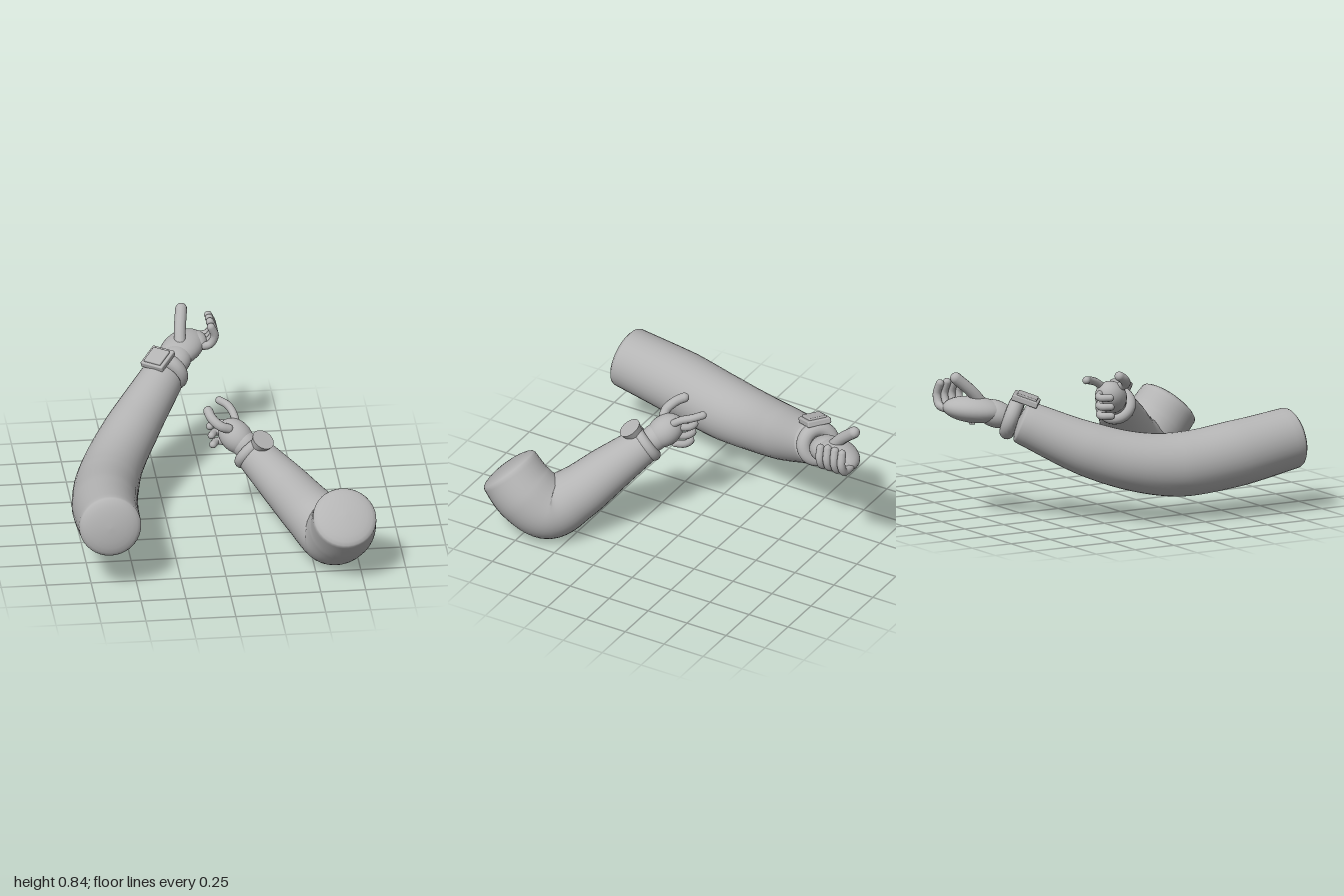
import * as THREE from 'three';
import { RoundedBoxGeometry } from 'three/addons/geometries/RoundedBoxGeometry.js';

const V = (a) => new THREE.Vector3(...a);
const skin = new THREE.MeshStandardMaterial({ color: 0xb4b4b4 });
skin.name = 'plain grey';

// Smooth round limb through [x, y, z, radius] stations, closed by domed ends
function limb(stations, capA, capB, steps = 28, sides = 28) {
  const curve = new THREE.CatmullRomCurve3(stations.map((s) => V(s.slice(0, 3))));
  const last = stations.length - 1;
  const radiusAt = (t) => {
    const i = Math.min(Math.floor(t * last), last - 1);
    return THREE.MathUtils.lerp(stations[i][3], stations[i + 1][3], t * last - i);
  };
  const rings = [];
  const dome = 6;
  const addDome = (t, height, sign) => {
    const p = curve.getPoint(t), d = curve.getTangent(t), r = radiusAt(t);
    for (let k = 1; k <= dome; k++) {
      const a = (k / dome) * Math.PI / 2;
      const ring = {
        p: p.clone().addScaledVector(d, sign * height * Math.sin(a)),
        d, r: Math.max(r * Math.cos(a), 0.0002),
      };
      if (sign < 0) rings.unshift(ring); else rings.push(ring);
    }
  };
  for (let i = 0; i <= steps; i++) {
    const t = i / steps;
    rings.push({ p: curve.getPoint(t), d: curve.getTangent(t), r: radiusAt(t) });
  }
  addDome(0, capA, -1);
  addDome(1, capB, 1);

  const pos = [], index = [];
  let n = Math.abs(rings[0].d.y) < 0.8 ? V([0, 1, 0]) : V([1, 0, 0]);
  rings.forEach(({ p, d, r }, i) => {
    n = n.clone().addScaledVector(d, -n.dot(d)).normalize();
    const b = d.clone().cross(n);
    for (let j = 0; j < sides; j++) {
      const a = (j / sides) * Math.PI * 2;
      const q = p.clone().addScaledVector(n, r * Math.cos(a)).addScaledVector(b, r * Math.sin(a));
      pos.push(q.x, q.y, q.z);
      if (i < rings.length - 1) {
        const k = (j + 1) % sides, u = i * sides, v = u + sides;
        index.push(u + j, u + k, v + j, u + k, v + k, v + j);
      }
    }
  });
  const g = new THREE.BufferGeometry();
  g.setAttribute('position', new THREE.Float32BufferAttribute(pos, 3));
  g.setIndex(index);
  g.computeVertexNormals();
  return g;
}

// Adds a mesh whose local y follows "up" and local z follows "along"
function place(parent, name, geometry, at = [0, 0, 0], along, up) {
  const mesh = new THREE.Mesh(geometry, skin);
  mesh.name = name;
  mesh.position.set(...at);
  if (along) {
    const z = V(along).normalize();
    const x = V(up).cross(z).normalize();
    mesh.quaternion.setFromRotationMatrix(new THREE.Matrix4().makeBasis(x, z.clone().cross(x), z));
  }
  parent.add(mesh);
  return mesh;
}

const ball = (x, y, z) => new THREE.SphereGeometry(1, 28, 20).scale(x, y, z);
const digit = (points, r) => limb(points.map((p) => [...p, r]), r, r, 12, 12);

function rightArm() {
  const arm = new THREE.Group();
  arm.name = 'rightArm';
  const along = [0.25, 0.14, -0.33];
  place(arm, 'rightSleeve', limb([
    [-0.655, 0.4, 0.85, 0.172], [-0.645, 0.345, 0.5, 0.184], [-0.6, 0.31, 0.18, 0.18],
    [-0.53, 0.335, -0.06, 0.165], [-0.41, 0.41, -0.3, 0.152], [-0.21, 0.56, -0.6, 0.122],
  ], 0.05, 0.03, 40, 36));
  place(arm, 'rightCuff', new THREE.TorusGeometry(0.085, 0.042, 16, 36), [-0.172, 0.585, -0.65], along, [0, 1, 0]);

  // Square wrist plate
  const plate = [-0.23, 0.69, -0.595];
  place(arm, 'wristPlate', new RoundedBoxGeometry(0.14, 0.035, 0.15, 2, 0.008), plate, along, [0, 1, 0]);
  place(arm, 'wristPlateFace', new RoundedBoxGeometry(0.105, 0.02, 0.115, 2, 0.006),
    [plate[0] - 0.006, plate[1] + 0.017, plate[2] + 0.007], along, [0, 1, 0]);

  // Open hand, palm up
  place(arm, 'rightWrist', ball(0.092, 0.075, 0.11), [-0.125, 0.605, -0.73], along, [0, 1, 0]);
  place(arm, 'rightPalm', ball(0.11, 0.073, 0.175), [-0.07, 0.63, -0.835], [0.5, 0.08, -0.75], [0, 1, 0]);
  place(arm, 'rightKnuckles', ball(0.088, 0.05, 0.06), [0.015, 0.64, -0.895], [1, 0.1, -0.15], [0, 1, 0]);
  place(arm, 'handStud', new RoundedBoxGeometry(0.035, 0.03, 0.035, 2, 0.008), [-0.06, 0.56, -0.84], [0.5, 0, -0.75], [0, 1, 0]);
  place(arm, 'rightThumb', digit([[-0.085, 0.66, -0.79], [-0.08, 0.73, -0.85], [-0.062, 0.815, -0.945]], 0.033));
  for (let i = 0; i < 4; i++) {
    const z = -0.83 - i * 0.046;
    const top = 0.762 + [-0.006, 0.004, 0.004, 0][i];
    place(arm, 'rightFinger', digit([
      [0.02, 0.635, z], [0.085, 0.645, z], [0.112, 0.7, z + 0.003], [0.09, top, z + 0.01],
    ], 0.023));
  }
  return arm;
}

function leftArm() {
  const arm = new THREE.Group();
  arm.name = 'leftArm';
  const along = [-0.4, 0.36, -0.38];
  place(arm, 'leftSleeve', limb([
    [0.65, 0.375, 0.845, 0.176], [0.645, 0.265, 0.745, 0.184], [0.6, 0.183, 0.625, 0.181],
    [0.5, 0.245, 0.515, 0.156], [0.36, 0.37, 0.385, 0.134], [0.21, 0.5, 0.245, 0.105],
  ], 0.045, 0.03, 44, 36));
  place(arm, 'leftCuff', new THREE.TorusGeometry(0.08, 0.034, 16, 36), [0.198, 0.505, 0.237], along, [0, 1, 0]);

  // Round wrist disc
  place(arm, 'wristDisc', new THREE.CylinderGeometry(0.064, 0.05, 0.05, 32), [0.247, 0.592, 0.298], along, [0.37, 0.85, 0.4]);

  // Curled hand
  place(arm, 'leftWrist', ball(0.075, 0.075, 0.08), [0.165, 0.535, 0.2], along, [0, 1, 0]);
  place(arm, 'leftPalm', ball(0.088, 0.085, 0.112), [0.12, 0.57, 0.16], along, [0, 1, 0]);
  place(arm, 'leftIndexFinger', digit([[0.075, 0.635, 0.195], [0.03, 0.655, 0.2], [-0.015, 0.69, 0.165], [-0.03, 0.715, 0.125]], 0.027));
  place(arm, 'leftThumb', digit([[0.13, 0.62, 0.125], [0.115, 0.665, 0.06], [0.09, 0.685, 0], [0.05, 0.695, -0.04]], 0.022));
  for (let i = 0; i < 3; i++) {
    const y = 0.595 - i * 0.053;
    const s = i * 0.008;
    place(arm, 'leftFinger', digit([
      [0.11, y + 0.01, 0.1], [0.06 + s, y, 0.045 + s], [0.01 + s, y, 0.035 + s], [-0.015 + s, y, 0.075 + s],
    ], 0.021));
  }
  return arm;
}

export function createModel() {
  const model = new THREE.Group();
  model.name = 'pairOfArms';
  model.add(rightArm(), leftArm());
  return model;
}
